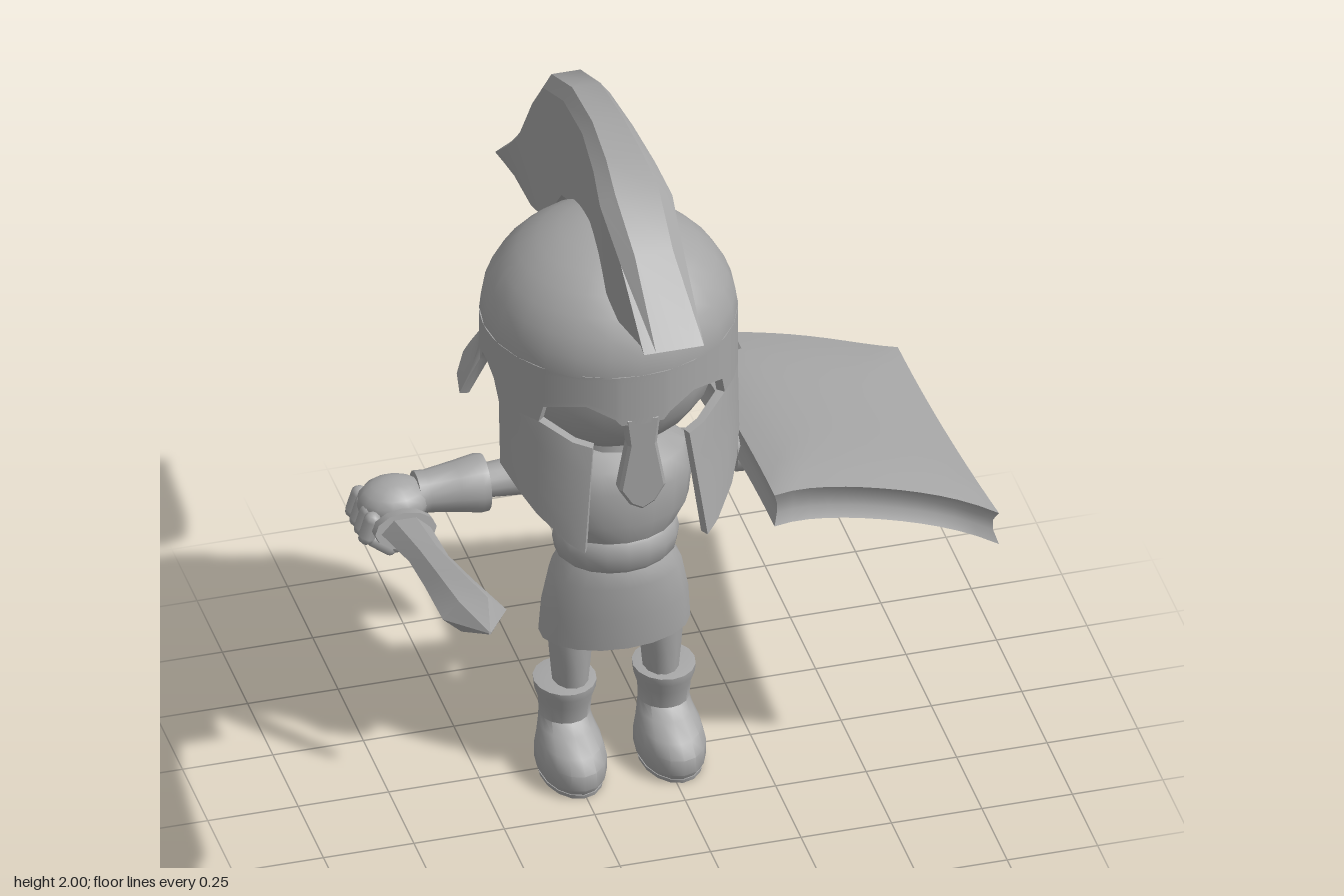
import * as THREE from 'three';
import { toCreasedNormals } from 'three/addons/utils/BufferGeometryUtils.js';

const CX = -0.12, HZ = -0.08; // body centre x, helmet centre z
const V = (x, y, z) => new THREE.Vector3(x, y, z);
const lerp = THREE.MathUtils.lerp, clamp = THREE.MathUtils.clamp;

// Joins equal-sized rings of points into a closed solid facing outward
function loft(rings, crease = 0.75) {
  const n = rings[0].length, pts = rings.flat(), idx = [];
  for (let i = 0; i < rings.length - 1; i++)
    for (let j = 0; j < n; j++) {
      const a = i * n + j, b = i * n + (j + 1) % n;
      idx.push(a, b, a + n, b, b + n, a + n);
    }
  [0, rings.length - 1].forEach((r, end) => {
    const c = pts.length;
    pts.push(rings[r].reduce((s, p) => s.add(p), V(0, 0, 0)).divideScalar(n));
    for (let j = 0; j < n; j++) {
      const a = r * n + j, b = r * n + (j + 1) % n;
      if (end) idx.push(a, b, c); else idx.push(b, a, c);
    }
  });
  let vol = 0;
  for (let i = 0; i < idx.length; i += 3)
    vol += pts[idx[i]].dot(V(0, 0, 0).crossVectors(pts[idx[i + 1]], pts[idx[i + 2]]));
  if (vol < 0) idx.reverse();
  const g = new THREE.BufferGeometry().setFromPoints(pts);
  g.setIndex(idx);
  return toCreasedNormals(g, crease);
}

// Stacked ovals: rows of [y, half width, back z, front z]
const ovals = (rows, n = 16, crease) => loft(rows.map(([y, w, z0, z1]) =>
  Array.from({ length: n }, (_, k) => {
    const t = k / n * Math.PI * 2;
    return V(w * Math.sin(t), y, (z0 + z1) / 2 + (z1 - z0) / 2 * Math.cos(t));
  })), crease);
const rounds = (rows, n) => ovals(rows.map(([y, r]) => [y, r, -r, r]), n);

// Curved helmet plate: columns of [angle, top y, bottom y], placed by a rule
function plate(cols, place, rows = 5, thick = 0.025) {
  return loft(cols.map(([a, top, bot]) => {
    const ring = [];
    for (let j = 0; j <= rows; j++) ring.push(place(a, lerp(top, bot, j / rows), 0));
    for (let j = rows; j >= 0; j--) ring.push(place(a, lerp(top, bot, j / rows), thick));
    return ring;
  }));
}

export function createModel() {
  const model = new THREE.Group();
  model.name = 'warrior';
  const gray = new THREE.MeshStandardMaterial({ color: 0xa6a6a6 });
  gray.name = 'gray';
  const add = (name, geo, x = 0, y = 0, z = 0, parent = model) => {
    const m = new THREE.Mesh(geo, gray);
    m.name = name;
    m.position.set(x, y, z);
    parent.add(m);
    return m;
  };

  // Head and neck
  add('head', new THREE.SphereGeometry(0.3, 20, 14), CX, 1.31, HZ);
  add('neck', new THREE.CylinderGeometry(0.1, 0.12, 0.14, 12), CX, 1.0, -0.04);

  // Helmet dome
  add('helmetDome', new THREE.SphereGeometry(0.345, 24, 8, 0, Math.PI * 2, 0, Math.PI / 2)
    .scale(1, 0.28 / 0.345, 1), CX, 1.4, HZ);

  // Helmet band: brows, temples, ear arches and flared neck guard
  const half = [[0, 1.25], [0.17, 1.25], [0.22, 1.27], [0.45, 1.31], [0.8, 1.28], [0.85, 1.22], [1.05, 1.22],
    [1.28, 1.22], [1.36, 1.28], [1.5, 1.31], [1.6, 1.31], [1.72, 1.26], [1.77, 1.14], [2, 1.14],
    [2.25, 1.14], [2.5, 1.14], [2.8, 1.15], [Math.PI, 1.15]];
  const band = [...half.slice(1).reverse().map(([a, y]) => [-a, 1.405, y]), ...half.map(([a, y]) => [a, 1.405, y])];
  add('helmetBand', plate(band, (a, y, t) => {
    const back = clamp((Math.abs(a) - 1.72) / 1.2, 0, 1);
    const flare = Math.abs(a) > 1.73 ? lerp(0.05, 0.11, back) * clamp((1.29 - y) / 0.14, 0, 1) ** 1.4 : 0;
    const r = 0.345 + flare - t;
    return V(CX + r * Math.sin(a), y, HZ + r * Math.cos(a));
  }, 7));

  // Cheek guards
  const cheek = [[0.39, 1.18, 0.88], [0.55, 1.19, 0.9], [0.85, 1.23, 0.95], [1.05, 1.23, 0.99], [1.28, 1.23, 1.03]];
  for (const s of [1, -1])
    add('cheekGuard', plate(cheek, (a, y, t) => {
      const d = clamp((1.2 - y) / 0.32, 0, 1), r = 0.345 - t, b = a + 0.14 * d * (1.28 - a);
      return V(CX + s * r * Math.sin(b), y, HZ + r * Math.cos(b) + 0.08 * d * Math.cos(a));
    }, 4));

  // Nose guard
  const nose = new THREE.Shape([[-0.05, 1.27], [-0.04, 1.18], [-0.065, 1.04], [-0.035, 0.99], [0, 0.97],
    [0.035, 0.99], [0.065, 1.04], [0.04, 1.18], [0.05, 1.27]].map(p => new THREE.Vector2(...p)));
  add('noseGuard', new THREE.ExtrudeGeometry(nose, { depth: 0.03, bevelSize: 0.008, bevelThickness: 0.008,
    bevelOffset: -0.008, bevelSegments: 1 }), CX, 0, 0.225);

  // Crest: stations of [outer z, outer y, inner z, inner y, half width]
  const crest = [[0.57, 1.69, 0.56, 1.685, 0.083], [0.37, 1.87, 0.23, 1.57, 0.088], [0.2, 1.96, 0.14, 1.6, 0.1],
    [0.08, 1.99, 0.03, 1.645, 0.085], [-0.09, 2, -0.09, 1.66, 0.07], [-0.3, 1.97, -0.24, 1.62, 0.065],
    [-0.5, 1.88, -0.38, 1.57, 0.067], [-0.6, 1.76, -0.45, 1.49, 0.07], [-0.72, 1.57, -0.52, 1.4, 0.076],
    [-0.81, 1.47, -0.65, 1.36, 0.082], [-0.9, 1.38, -0.8, 1.355, 0.087]];
  add('crest', loft(crest.map(([oz, oy, iz, iy, w]) => {
    const at = (x, f) => V(CX + x, lerp(oy, iy, f), lerp(oz, iz, f));
    return [at(-w * 0.6, 0), at(w * 0.6, 0), at(w, 0.1), at(w * 0.85, 0.5), at(w * 0.68, 1),
      at(-w * 0.68, 1), at(-w * 0.85, 0.5), at(-w, 0.1)];
  }), 0.6));

  // Torso, belt and skirt
  add('chest', ovals([[0.72, 0.13, -0.12, 0.1], [0.77, 0.165, -0.15, 0.12], [0.83, 0.2, -0.17, 0.135],
    [0.93, 0.213, -0.175, 0.13], [0.99, 0.195, -0.165, 0.11], [1.025, 0.14, -0.13, 0.07]], 18), CX);
  add('belt', ovals([[0.665, 0.145, -0.13, 0.11], [0.685, 0.165, -0.145, 0.125], [0.725, 0.172, -0.15, 0.13],
    [0.76, 0.165, -0.145, 0.125], [0.775, 0.15, -0.13, 0.11]], 18), CX);
  add('skirt', ovals([[0.42, 0.207, -0.155, 0.11], [0.52, 0.2, -0.155, 0.118], [0.62, 0.18, -0.15, 0.12],
    [0.665, 0.155, -0.14, 0.115], [0.69, 0.14, -0.12, 0.1]], 18), CX);

  // Legs and boots
  for (const s of [1, -1]) {
    const lean = ovals([[0.24, 0.046, -0.075, 0.045], [0.34, 0.055, -0.085, 0.055], [0.46, 0.065, -0.09, 0.06]], 12);
    add('leg', lean, CX + s * 0.125);
    add('boot', ovals([[0.005, 0.08, -0.1, 0.165], [0.03, 0.092, -0.115, 0.182], [0.075, 0.092, -0.112, 0.18],
      [0.11, 0.084, -0.105, 0.15], [0.135, 0.074, -0.1, 0.08], [0.16, 0.069, -0.098, 0.045],
      [0.21, 0.072, -0.1, 0.052], [0.245, 0.083, -0.118, 0.068], [0.268, 0.085, -0.118, 0.07],
      [0.272, 0.06, -0.09, 0.05]], 16), CX + s * 0.137);
    add('bootSole', ovals([[0, 0.084, -0.105, 0.17], [0.012, 0.086, -0.108, 0.173]], 16), CX + s * 0.137);

    // Arms, bracers and wrists run outward from the shoulders
    const turn = g => g.rotateZ(-s * Math.PI / 2);
    add('arm', turn(rounds([[0.13, 0.065], [0.22, 0.055], [0.37, 0.045]], 12)), CX, 0.895, -0.09);
    add('bracer', turn(rounds([[0.335, 0.05], [0.34, 0.078], [0.36, 0.08], [0.42, 0.07], [0.5, 0.058],
      [0.53, 0.06]], 14)), CX, 0.89, -0.09);
  }

  // Right fist wrapped around the grip
  const finger = (name, x, y, z, rx, rz, len, r = 0.022) =>
    add(name, new THREE.CapsuleGeometry(r, len, 4, 8), x, y, z).rotation.set(rx, 0, rz);
  add('rightPalm', new THREE.SphereGeometry(1, 14, 10).scale(0.1, 0.065, 0.085), -0.715, 0.885, -0.08);
  for (let i = 0; i < 4; i++) {
    finger('rightKnuckle', -0.8, 0.855, -0.14 + i * 0.043, 0, -0.3, 0.05, 0.024);
    finger('rightFinger', -0.765, 0.8, -0.14 + i * 0.043, 0, 0.9, 0.05, 0.023);
  }
  finger('rightThumb', -0.7, 0.82, -0.01, 0, -0.8, 0.08, 0.024);

  // Left hand, half curled below the shield
  add('leftPalm', new THREE.SphereGeometry(1, 14, 10).scale(0.09, 0.045, 0.085), 0.46, 0.865, -0.09).rotation.z = -0.3;
  for (let i = 0; i < 4; i++) {
    finger('leftFinger', 0.535, 0.835, -0.155 + i * 0.043, 0, 0.9, 0.05);
    finger('leftFingertip', 0.535, 0.795, -0.155 + i * 0.043, 0, -0.8, 0.04, 0.02);
  }
  finger('leftThumb', 0.47, 0.81, -0.015, 0.2, 0.9, 0.08, 0.023);

  // Sword, pointing forward and slightly up
  const sword = new THREE.Group();
  sword.name = 'sword';
  sword.position.set(-0.72, 0.865, 0);
  sword.rotation.x = -0.26;
  model.add(sword);
  const disc = (r, len) => new THREE.CylinderGeometry(r, r, len, 12).rotateX(Math.PI / 2).scale(1, 0.6, 1);
  add('grip', disc(0.045, 0.28), 0, 0, -0.07, sword);
  add('pommel', disc(0.08, 0.03), 0, 0, -0.19, sword);
  add('guard', disc(0.085, 0.035), 0, 0, 0.05, sword);
  add('blade', loft([[0.06, 0.068, 0.034], [0.3, 0.054, 0.03], [0.5, 0.066, 0.034], [0.77, 0.088, 0.042],
    [0.925, 0.004, 0.004]].map(([z, w, h]) => [V(w, 0, z), V(w * 0.45, h, z), V(-w * 0.45, h, z),
    V(-w, 0, z), V(-w * 0.45, -h, z), V(w * 0.45, -h, z)]), 0.5), 0, 0, 0, sword);

  // Shield: a curved pillow-like slab with a hollow underside
  const slab = new THREE.BoxGeometry(2, 2, 2, 12, 3, 12), p = slab.attributes.position;
  for (let i = 0; i < p.count; i++) {
    const u = p.getX(i), v = p.getY(i), w = p.getZ(i);
    const edge = Math.max(Math.abs(u), Math.abs(w));
    const pinch = 1 - 0.04 * (1 - v * v);
    const x = 0.515 + 0.31 * u * pinch * (1 - 0.04 * (1 - w * w));
    const z = -0.1 + 0.5 * w * pinch * (1 - 0.07 * (1 - u ** 4));
    const f = (x - 0.2) / 0.62;
    const top = 1.045 - 0.04 * f - 0.13 * f * f + 0.128 * (z - 0.38);
    const y = v > 0.9 ? top + 0.02 * (1 - edge ** 4)
      : top - 0.05 * (1 - v) + (v < -0.9 ? 0.055 * clamp((1 - edge) / 0.17, 0, 1) : 0);
    p.setXYZ(i, x, y, z);
  }
  add('shield', toCreasedNormals(slab, 0.6));

  return model;
}
